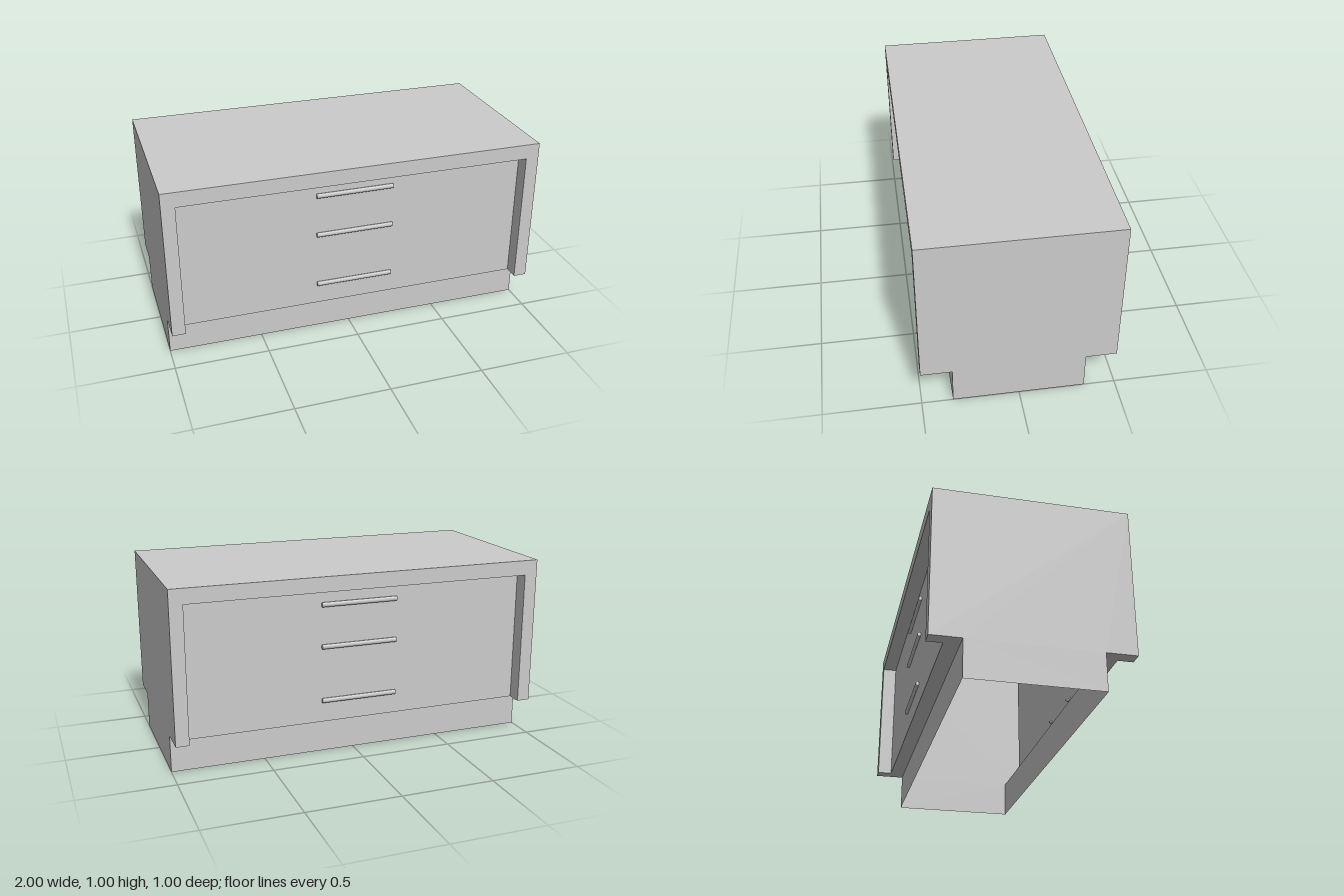
import * as THREE from 'three';

const material = new THREE.MeshStandardMaterial({ color: 0xcccccc, side: THREE.DoubleSide });

function add(parent, name, geometry, x = 0, y = 0, z = 0) {
  const mesh = new THREE.Mesh(geometry, material);
  mesh.name = name;
  mesh.position.set(x, y, z);
  parent.add(mesh);
  return mesh;
}

const outline = (points) =>
  new THREE.ShapeGeometry(new THREE.Shape(points.map(([x, y]) => new THREE.Vector2(x, y))));

// thin sheets: upright facing z, lying facing down, upright facing x
const wall = (w, h) => new THREE.PlaneGeometry(w, h);
const underside = (w, d) => new THREE.PlaneGeometry(w, d).rotateX(Math.PI / 2);
const cheek = (d, h) => new THREE.PlaneGeometry(d, h).rotateY(Math.PI / 2);

const FRONT = 0.5, PANEL = 0.42, PLINTH = 0.34; // depths
const BASE = 0.2, OPEN_TOP = 0.92, OPEN_X = 0.93; // opening
const DEPTH = FRONT - PANEL, OPEN_H = OPEN_TOP - BASE;

// bar handle on two short pins that pass through the panel
function createHandle() {
  const handle = new THREE.Group();
  handle.name = 'handle';
  const bar = new THREE.CylinderGeometry(0.013, 0.013, 0.414, 10).rotateZ(Math.PI / 2).scale(1, 1, 0.75);
  add(handle, 'handleBar', bar, 0, 0, 0.009);
  for (const side of [-1, 1]) {
    const pin = new THREE.CylinderGeometry(0.007, 0.007, 0.024, 8).rotateX(Math.PI / 2);
    add(handle, 'handlePin', pin, side * 0.165, 0, -0.004);
  }
  return handle;
}

// one long face: frame, recessed panel, handles, soffit and plinth board
function createFace(name) {
  const face = new THREE.Group();
  face.name = name;
  add(face, 'frame', outline([
    [-1, BASE], [-OPEN_X, BASE], [-OPEN_X, OPEN_TOP], [OPEN_X, OPEN_TOP],
    [OPEN_X, BASE], [1, BASE], [1, 1], [-1, 1],
  ]), 0, 0, FRONT);
  add(face, 'recessedPanel', wall(2 * OPEN_X, OPEN_H), 0, BASE + OPEN_H / 2, PANEL);
  add(face, 'recessTop', underside(2 * OPEN_X, DEPTH), 0, OPEN_TOP, PANEL + DEPTH / 2);
  for (const side of [-1, 1]) {
    add(face, 'recessSide', cheek(DEPTH, OPEN_H), side * OPEN_X, BASE + OPEN_H / 2, PANEL + DEPTH / 2);
    add(face, 'frameFoot', underside(1 - OPEN_X, DEPTH), side * (1 + OPEN_X) / 2, BASE, PANEL + DEPTH / 2);
  }
  add(face, 'soffit', underside(2, PANEL - PLINTH), 0, BASE, (PANEL + PLINTH) / 2);
  add(face, 'plinthBoard', wall(2, BASE), 0, BASE / 2, PLINTH);
  for (const y of [0.838, 0.614, 0.32]) {
    const handle = createHandle();
    handle.position.set(0, y, PANEL);
    face.add(handle);
  }
  return face;
}

export function createModel() {
  const model = new THREE.Group();
  model.name = 'drawerCabinet';

  add(model, 'top', underside(2, 2 * FRONT).rotateX(Math.PI), 0, 1, 0);

  // stepped end walls
  for (const side of [-1, 1]) {
    const end = add(model, side > 0 ? 'leftEnd' : 'rightEnd', outline([
      [-PLINTH, 0], [PLINTH, 0], [PLINTH, BASE], [FRONT, BASE],
      [FRONT, 1], [-FRONT, 1], [-FRONT, BASE], [-PLINTH, BASE],
    ]), side, 0, 0);
    end.rotation.y = side * Math.PI / 2;
  }

  // matching front and back, open underneath
  const back = createFace('backFace');
  back.rotation.y = Math.PI;
  model.add(createFace('frontFace'), back);
  return model;
}
